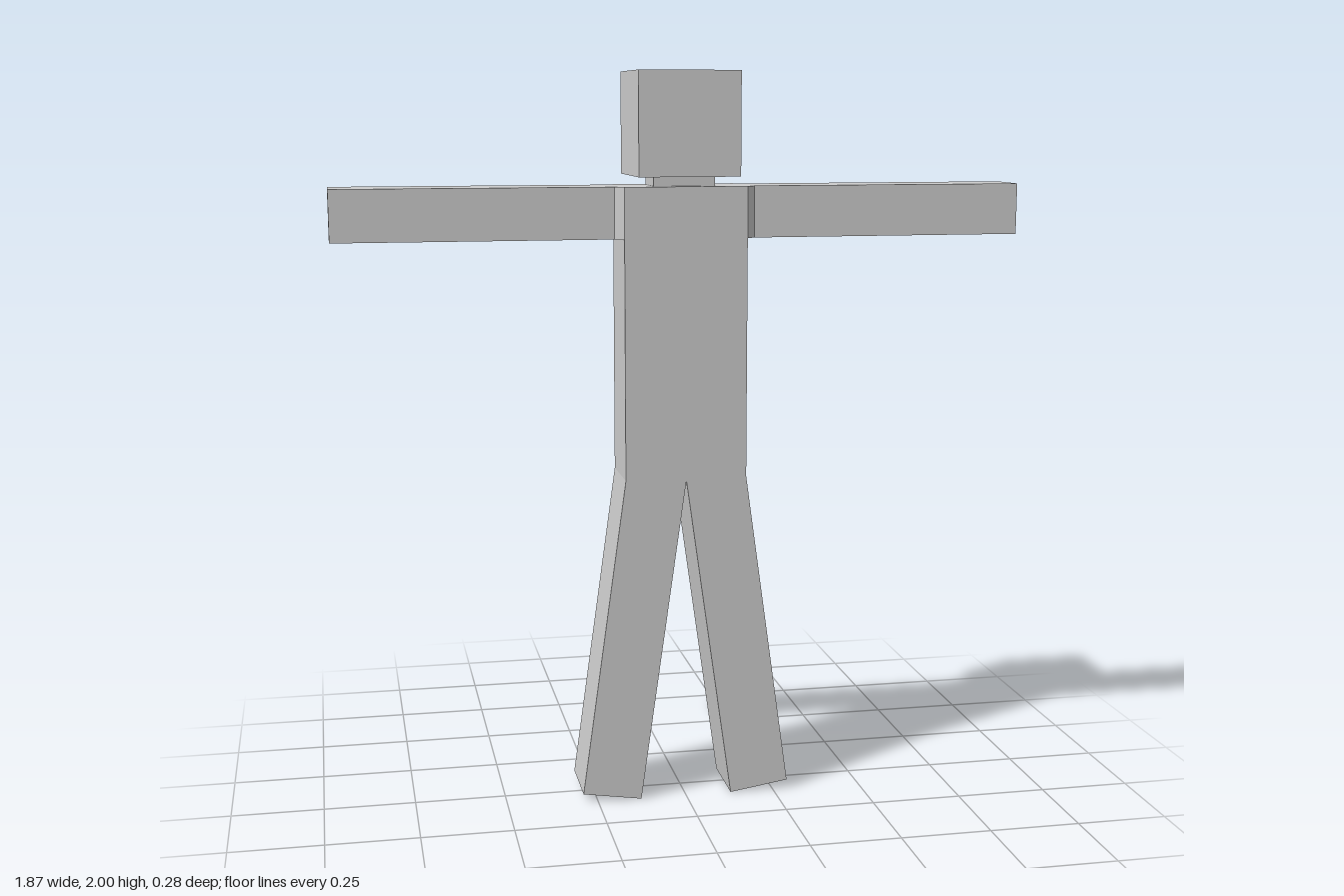
import * as THREE from 'three';

export function createModel() {
  const model = new THREE.Group();
  const grey = new THREE.MeshStandardMaterial({ color: 0xcccccc });
  grey.name = 'light grey';

  const add = (name, geometry, y = 0) => {
    const mesh = new THREE.Mesh(geometry, grey);
    mesh.name = name;
    mesh.position.y = y;
    model.add(mesh);
  };
  const prism = (points, depth) => new THREE.ExtrudeGeometry(
    new THREE.Shape(points.map(([x, y]) => new THREE.Vector2(x, y))),
    { depth, bevelEnabled: false }
  ).translate(0, 0, -depth / 2);

  // Torso and spread legs share one outline
  const half = [[0.167, 1.698], [0.167, 0.91], [0.291, 0.025], [0.128, 0]];
  const mirrored = half.map(([x, y]) => [-x, y]).reverse();
  add('torsoAndLegs', prism([...half, [0, 0.905], ...mirrored], 0.188));

  // Arms, with a shoulder that tapers from torso depth to arm depth
  for (const [name, side] of [['leftArm', 1], ['rightArm', -1]]) {
    const outline = [
      [0.167, 0.094], [0.19, 0.073], [0.933, 0.073],
      [0.933, -0.073], [0.19, -0.073], [0.167, -0.094],
    ].map(([x, z]) => [x * side, z]);
    add(name, prism(outline, 0.138).rotateX(-Math.PI / 2), 1.629);
  }

  // Neck and head
  add('neck', new THREE.BoxGeometry(0.166, 0.03, 0.124), 1.712);
  add('head', new THREE.BoxGeometry(0.273, 0.275, 0.284), 1.8625);

  return model;
}
